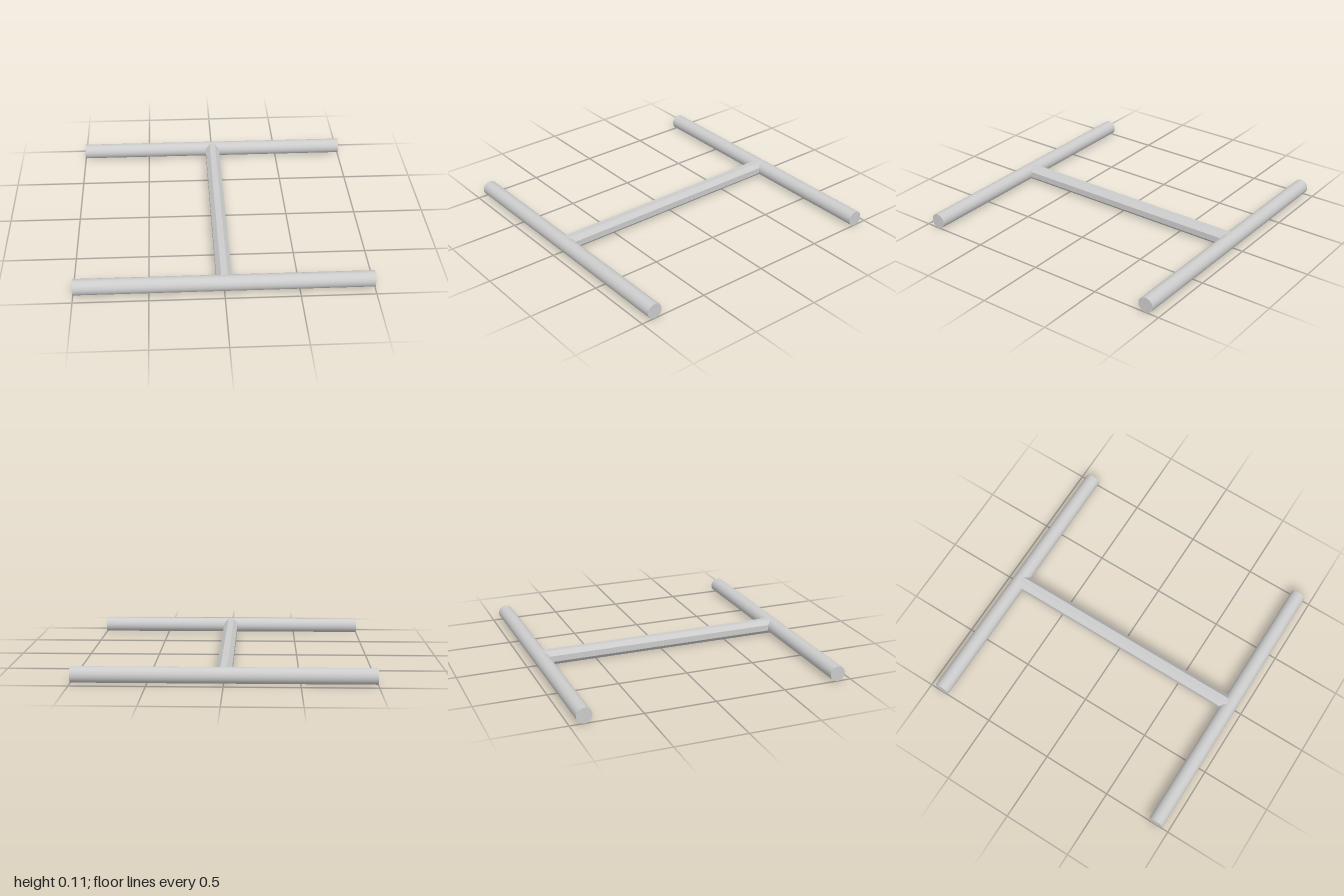
import * as THREE from 'three';

const RADIUS = 0.054;
const RAIL_Z = 0.9;

export function createModel() {
  const group = new THREE.Group();
  const smooth = new THREE.MeshStandardMaterial({ color: 0xcccccc });
  const faceted = new THREE.MeshStandardMaterial({ color: 0xcccccc, flatShading: true });

  // Two round rails lying along x
  const railGeometry = new THREE.CylinderGeometry(RADIUS, RADIUS, 2, 40);
  railGeometry.rotateZ(Math.PI / 2);
  for (const [name, side] of [['frontRail', 1], ['backRail', -1]]) {
    const rail = new THREE.Mesh(railGeometry, smooth);
    rail.name = name;
    rail.position.set(0, RADIUS, side * RAIL_Z);
    group.add(rail);
  }

  // Eight-sided bar joining the rails, with a flat face on top
  const barGeometry = new THREE.CylinderGeometry(RADIUS + 0.002, RADIUS + 0.002, 2 * RAIL_Z, 8);
  barGeometry.rotateY(Math.PI / 8);
  barGeometry.rotateX(Math.PI / 2);
  const bar = new THREE.Mesh(barGeometry, faceted);
  bar.name = 'connectingBar';
  bar.position.y = RADIUS;
  group.add(bar);

  return group;
}
